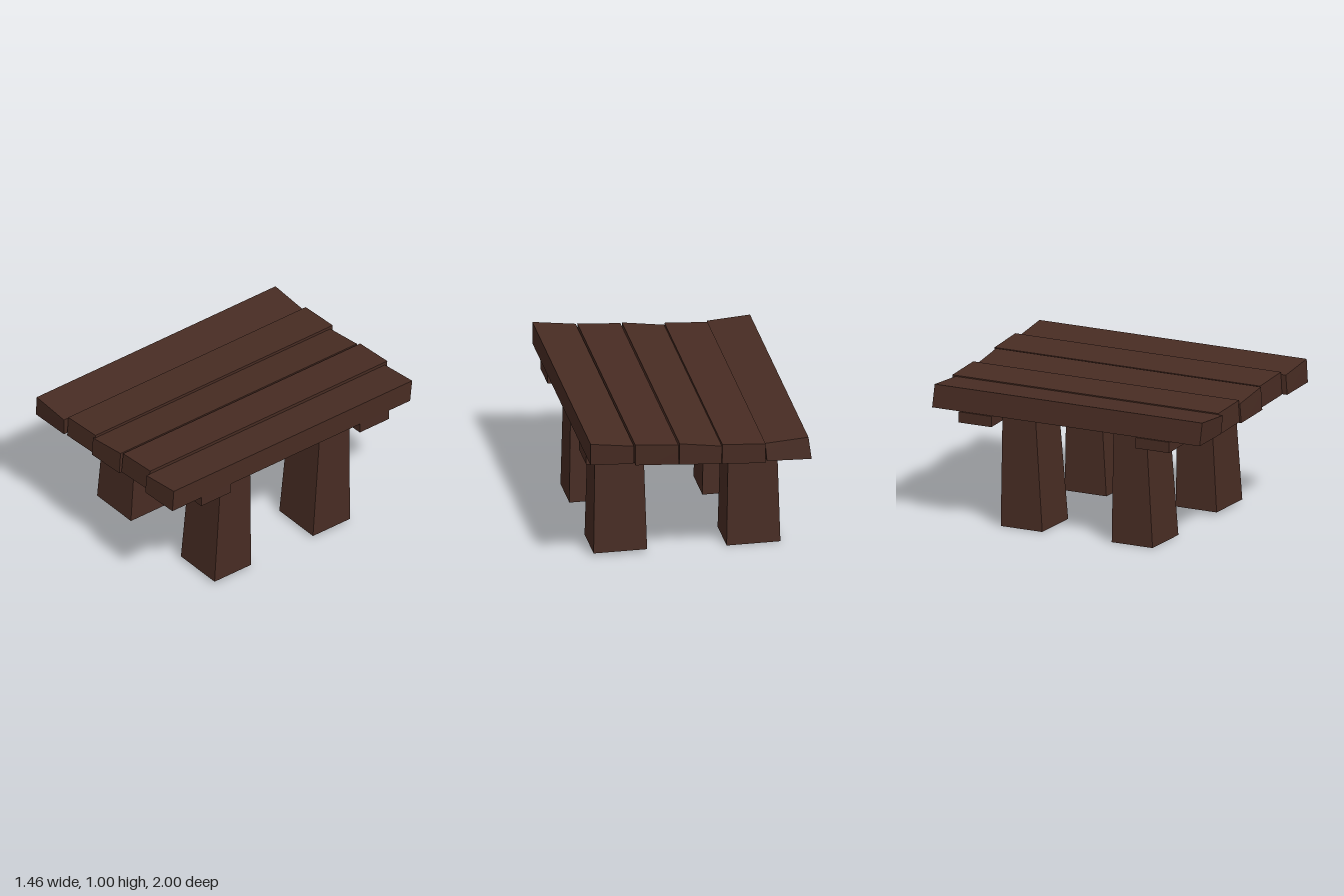
import * as THREE from 'three';

const wood = new THREE.MeshStandardMaterial({ color: 0x482c23 });
wood.name = 'dark wood';

// Reshape a unit box: corner(sx, sy, sz) gives the position of each corner (signs are -1 or 1)
function timber(name, corner) {
  const geo = new THREE.BoxGeometry(2, 2, 2);
  const p = geo.attributes.position;
  for (let i = 0; i < p.count; i++) {
    p.setXYZ(i, ...corner(p.getX(i), p.getY(i), p.getZ(i)));
  }
  geo.computeVertexNormals();
  const mesh = new THREE.Mesh(geo, wood);
  mesh.name = name;
  return mesh;
}

export function createModel() {
  const table = new THREE.Group();
  table.name = 'plankTable';

  // Uneven top planks. Section: bottom left, bottom right, top left, top right.
  // Ends: back bottom, back top, front bottom, front top.
  const planks = [
    { section: [[-0.73, 0.77], [-0.435, 0.78], [-0.71, 0.922], [-0.425, 0.903]], ends: [-0.985, -0.977, 0.98, 0.988] },
    { section: [[-0.423, 0.77], [-0.138, 0.788], [-0.423, 0.91], [-0.138, 0.929]], ends: [-0.99, -1, 0.963, 0.953] },
    { section: [[-0.149, 0.78], [0.14, 0.797], [-0.149, 0.908], [0.14, 0.95]], ends: [-0.97, -0.98, 0.975, 0.965] },
    { section: [[0.147, 0.807], [0.433, 0.825], [0.152, 0.951], [0.437, 0.975]], ends: [-0.985, -0.998, 0.963, 0.953] },
    { section: [[0.44, 0.826], [0.725, 0.84], [0.441, 0.957], [0.727, 0.995]], ends: [-0.96, -0.975, 0.997, 0.987] },
  ];
  planks.forEach(({ section, ends }, i) => {
    table.add(timber(`plank${i + 1}`, (sx, sy, sz) => {
      const [x, y] = section[(sx > 0 ? 1 : 0) + (sy > 0 ? 2 : 0)];
      return [x, y, ends[(sy > 0 ? 1 : 0) + (sz > 0 ? 2 : 0)]];
    }));
  });

  // Sloping cross beams on the outer side of the legs
  for (const [name, z0, z1] of [['frontBeam', 0.51, 0.755], ['backBeam', -0.79, -0.55]]) {
    table.add(timber(name, (sx, sy, sz) => [
      sx > 0 ? 0.72 : -0.73,
      (sx > 0 ? 0.768 : 0.694) + (sy > 0 ? 0.072 : 0),
      sz > 0 ? z1 : z0,
    ]));
  }

  // Tapered legs: x and z ranges at the foot and at the top
  const sides = [
    { name: 'Right', foot: [-0.61, -0.255], top: [-0.585, -0.266], y: [0, 0.78] },
    { name: 'Left', foot: [0.27, 0.623], top: [0.297, 0.614], y: [0.02, 0.825] },
  ];
  const rows = [
    { name: 'front', foot: [0.27, 0.57], top: [0.27, 0.51] },
    { name: 'back', foot: [-0.545, -0.24], top: [-0.545, -0.305] },
  ];
  for (const side of sides) {
    for (const row of rows) {
      table.add(timber(`${row.name}${side.name}Leg`, (sx, sy, sz) => {
        const level = sy > 0 ? 'top' : 'foot';
        return [side[level][sx > 0 ? 1 : 0], side.y[sy > 0 ? 1 : 0], row[level][sz > 0 ? 1 : 0]];
      }));
    }
  }
  return table;
}
